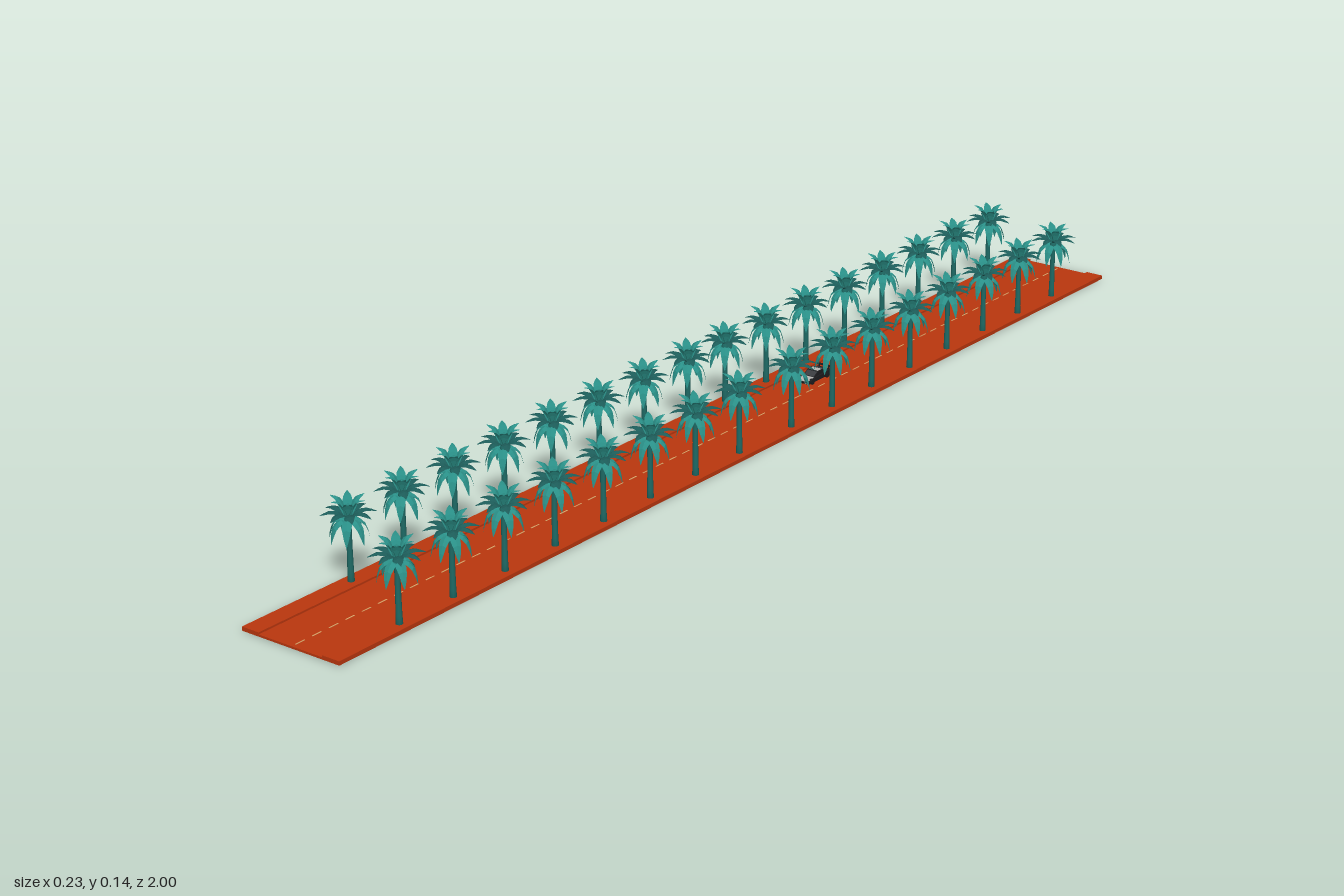
import * as THREE from 'three';
import { mergeGeometries } from 'three/addons/utils/BufferGeometryUtils.js';

const mat = (name, color, extra = {}) => {
  const m = new THREE.MeshStandardMaterial({ color, ...extra });
  m.name = name;
  return m;
};

// Folded leaf blade swept along a profile of [radius, height, halfWidth] points
function frondGeometry(points) {
  const curve = new THREE.CatmullRomCurve3(points.map(([r, y]) => new THREE.Vector3(r, y, 0)));
  const steps = 6, pos = [], index = [];
  for (let i = 0; i <= steps; i++) {
    const t = i / steps, p = curve.getPoint(t);
    const w = 0.0012 + 0.0062 * Math.sin(Math.PI * Math.pow(t, 0.8)) ;
    const half = i === steps ? 0.0004 : w;
    pos.push(p.x, p.y - half * 0.4, -half, p.x, p.y, 0, p.x, p.y - half * 0.4, half);
    if (i < steps) {
      const a = i * 3;
      for (const k of [a, a + 1]) index.push(k, k + 1, k + 3, k + 1, k + 4, k + 3);
    }
  }
  const g = new THREE.BufferGeometry();
  g.setAttribute('position', new THREE.Float32BufferAttribute(pos, 3));
  g.setIndex(index);
  g.computeVertexNormals();
  return g;
}

// Ring of equal fronds around the trunk
function frondRing(points, count, offset) {
  const parts = [];
  for (let i = 0; i < count; i++) {
    parts.push(frondGeometry(points).rotateY(offset + (i / count) * Math.PI * 2));
  }
  return mergeGeometries(parts);
}

export function createModel() {
  const group = new THREE.Group();
  const ground = mat('burnt orange', 0xb9360e);
  const leaf = mat('teal leaf', 0x2a9088, { side: THREE.DoubleSide, flatShading: true });
  const bark = mat('dark teal bark', 0x1e6a65);
  const darkLeaf = mat('dark teal leaf', 0x1c5c59, { side: THREE.DoubleSide, flatShading: true });
  const paint = mat('lane paint', 0xd9a468);
  const black = mat('car black', 0x1c1c1e);
  const grey = mat('car grey', 0xb4b4b0);
  const glass = mat('car glass', 0x3a3d40);
  const red = mat('tail light red', 0xa02418);

  const add = (parent, name, geo, material, x = 0, y = 0, z = 0) => {
    const m = new THREE.Mesh(geo, material);
    m.name = name;
    m.position.set(x, y, z);
    parent.add(m);
    return m;
  };

  // Road slab and raised pavements
  add(group, 'road', new THREE.BoxGeometry(0.184, 0.0034, 2), ground, 0, 0.0022, 0);
  for (const s of [-1, 1]) {
    add(group, 'pavement', new THREE.BoxGeometry(0.032, 0.0035, 2), ground, s * 0.076, 0.0052, 0);
  }

  // Dashed centre line, set through the slab
  const dashes = [];
  for (let i = 0; i < 60; i++) {
    dashes.push(new THREE.BoxGeometry(0.002, 0.0044, 0.018).translate(0.003, 0.0022, -0.983 + i / 30));
  }
  add(group, 'centreLine', mergeGeometries(dashes), paint);

  // Palm parts shared by every tree
  const trunkGeo = new THREE.LatheGeometry([
    [0, 0.002], [0.0058, 0.002], [0.0048, 0.02], [0.0042, 0.06], [0.0042, 0.095], [0.006, 0.104], [0, 0.114],
  ].map(([r, y]) => new THREE.Vector2(r, y)), 8);
  const upperGeo = frondRing([[0.001, 0.103], [0.008, 0.122], [0.016, 0.134], [0.028, 0.136]], 6, 0.25);
  const middleGeo = frondRing([[0.001, 0.106], [0.014, 0.116], [0.027, 0.118], [0.041, 0.112]], 8, 0.1);
  const lowerGeo = frondRing([[0.001, 0.098], [0.012, 0.105], [0.024, 0.095], [0.03, 0.071]], 7, 0.4);

  function palm(x, z, turn) {
    const tree = new THREE.Group();
    tree.name = 'palmTree';
    add(tree, 'trunk', trunkGeo, bark);
    add(tree, 'upperFronds', upperGeo, leaf);
    add(tree, 'middleFronds', middleGeo, darkLeaf);
    add(tree, 'lowerFronds', lowerGeo, leaf);
    tree.position.set(x, 0, z);
    tree.rotation.y = turn;
    group.add(tree);
  }

  // Two staggered rows, each made of two runs of eight
  for (let i = 0; i < 8; i++) {
    const d = i * 0.1125;
    palm(0.076, 0.862 - d, 0);
    palm(0.076, -0.064 - d, 0);
    palm(-0.076, 0.797 - d, Math.PI);
    palm(-0.076, -0.09 - d, Math.PI);
  }

  // Low wedge car, nose towards +z
  const car = new THREE.Group();
  car.name = 'car';
  car.position.set(-0.024, 0.004, -0.264);
  group.add(car);

  // Side profile given as [z, y], extruded across x
  const sideExtrude = (pts, width) => new THREE.ExtrudeGeometry(
    new THREE.Shape(pts.map(([z, y]) => new THREE.Vector2(z, y))),
    { depth: width, bevelEnabled: false },
  ).translate(0, 0, -width / 2).rotateY(-Math.PI / 2);

  add(car, 'body', sideExtrude([
    [-0.033, 0.003], [0.033, 0.003], [0.034, 0.006], [0.012, 0.0095], [-0.033, 0.0115],
  ], 0.028), black);
  add(car, 'cabin', sideExtrude([
    [-0.028, 0.011], [0.013, 0.009], [0.001, 0.0165], [-0.012, 0.017],
  ], 0.022), black);
  const bonnet = add(car, 'bonnet', new THREE.BoxGeometry(0.022, 0.0006, 0.018), grey, 0, 0.0081, 0.0225);
  bonnet.rotation.x = 0.157;
  const windscreen = add(car, 'windscreen', new THREE.BoxGeometry(0.019, 0.0006, 0.011), glass, 0, 0.0129, 0.0073);
  windscreen.rotation.x = 0.56;
  add(car, 'roofPanel', new THREE.BoxGeometry(0.018, 0.0006, 0.011), grey, 0, 0.017, -0.0055);

  // Rear louvres
  for (let i = 0; i < 4; i++) {
    add(car, 'louvre', new THREE.BoxGeometry(0.02, 0.001, 0.002), glass, 0, 0.0162 - i * 0.0013, -0.0145 - i * 0.0036);
  }
  add(car, 'rearWing', new THREE.BoxGeometry(0.028, 0.001, 0.006), black, 0, 0.0165, -0.031);

  // Wheels, wing posts and lamps on both sides
  const wheelGeo = new THREE.CylinderGeometry(0.005, 0.005, 0.005, 14).rotateZ(Math.PI / 2);
  for (const s of [-1, 1]) {
    for (const z of [-0.021, 0.021]) add(car, 'wheel', wheelGeo, black, s * 0.0125, 0.005, z);
    add(car, 'wingPost', new THREE.BoxGeometry(0.001, 0.006, 0.003), black, s * 0.01, 0.0135, -0.031);
    add(car, 'headlight', new THREE.BoxGeometry(0.006, 0.0015, 0.001), grey, s * 0.0095, 0.0048, 0.0337);
    add(car, 'tailLight', new THREE.BoxGeometry(0.007, 0.002, 0.001), red, s * 0.009, 0.008, -0.0332);
  }
  return group;
}
